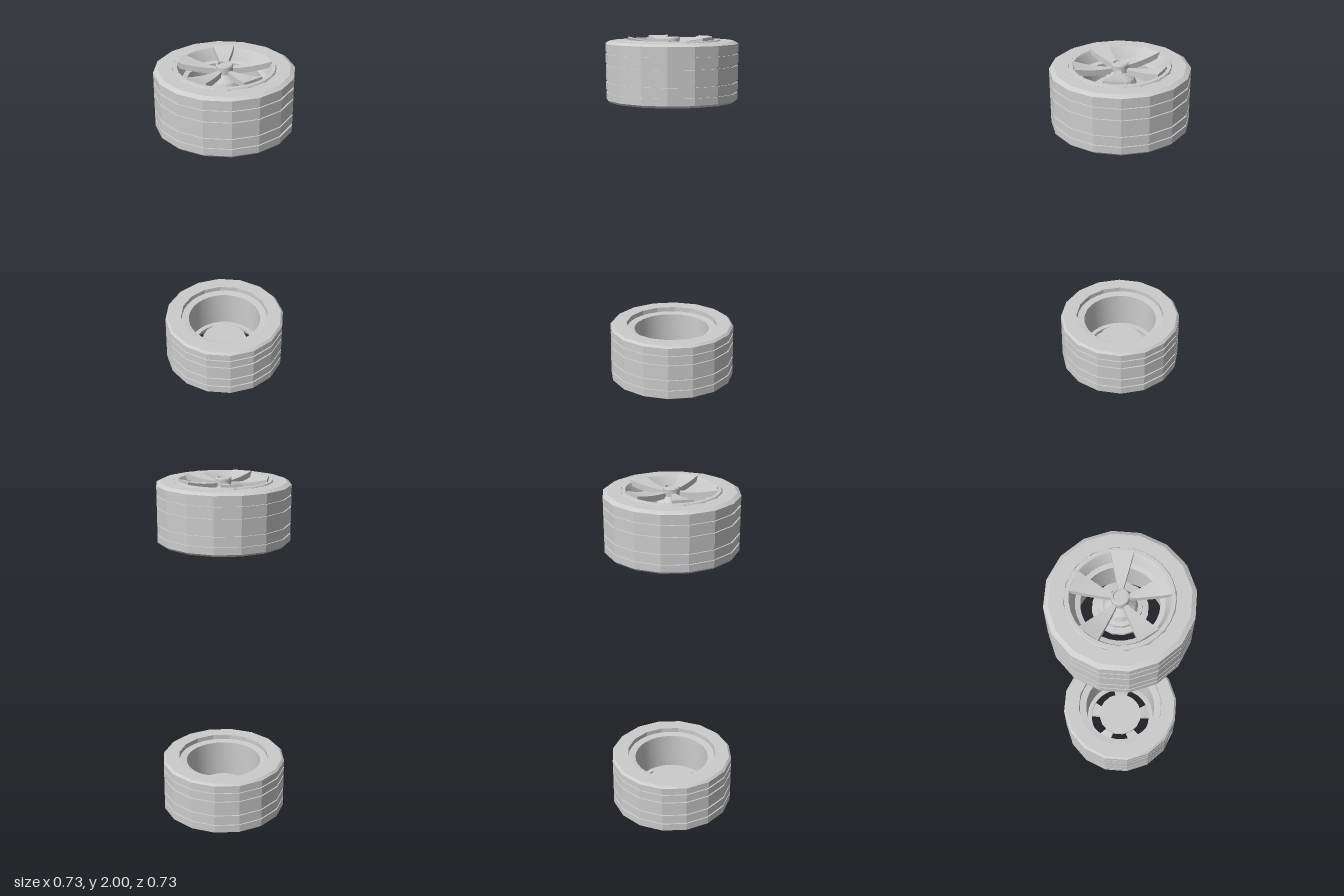
import * as THREE from 'three';
import { toCreasedNormals } from 'three/addons/utils/BufferGeometryUtils.js';

const grey = new THREE.MeshStandardMaterial({ color: 0xcccccc });
grey.name = 'plain grey';

function part(name, geometry, crease = 0.3) {
  const mesh = new THREE.Mesh(toCreasedNormals(geometry, crease), grey);
  mesh.name = name;
  return mesh;
}

// Profile of [radius, height] pairs: up the outside, then inward over the top
function turned(name, profile, sides) {
  const points = profile.map(([r, y]) => new THREE.Vector2(r, y));
  return part(name, new THREE.LatheGeometry(points, sides));
}

// Sixteen-sided tyre with four shallow grooves round the tread
function makeTyre() {
  const R = 0.363, depth = 0.008, half = 0.005;
  const profile = [[0.267, 0], [0.35, 0], [R, 0.012]];
  for (const y of [0.055, 0.11, 0.2, 0.262]) {
    profile.push([R, y - half], [R - depth, y - half], [R - depth, y + half], [R, y + half]);
  }
  profile.push([R, 0.312], [0.34, 0.325], [0.267, 0.325], [0.267, 0]);
  return turned('tyre', profile, 16);
}

// Open barrel with a back flange, a front lip and a stepped throat
function makeRim() {
  return turned('rim', [
    [0.262, 0.026], [0.262, 0.036], [0.23, 0.045], [0.23, 0.3], [0.262, 0.312],
    [0.264, 0.325], [0.26, 0.332], [0.241, 0.332], [0.235, 0.322], [0.215, 0.27],
    [0.19, 0.265], [0.19, 0.25], [0.218, 0.25], [0.22, 0.03], [0.262, 0.026],
  ], 32);
}

// Tapered spoke that rises toward its outer end
function makeSpoke(angle) {
  const geometry = new THREE.BoxGeometry(1, 1, 1, 4, 1, 1);
  const p = geometry.attributes.position;
  for (let i = 0; i < p.count; i++) {
    const t = p.getX(i) + 0.5;
    const top = 0.318 + 0.027 * t * t;
    p.setXYZ(
      i,
      0.036 + 0.2 * t,
      p.getY(i) > 0 ? top : top - 0.03,
      Math.sign(p.getZ(i)) * (0.009 + 0.047 * t),
    );
  }
  const spoke = part('spoke', geometry, 0.2);
  spoke.rotation.y = angle;
  return spoke;
}

function makeWheel(name) {
  const wheel = new THREE.Group();
  wheel.name = name;
  wheel.add(makeTyre(), makeRim());

  // Stepped hub behind the spokes
  wheel.add(turned('hub', [
    [0, 0.2], [0.137, 0.2], [0.137, 0.215], [0.107, 0.218], [0.106, 0.235],
    [0.085, 0.238], [0.075, 0.265], [0.045, 0.3], [0, 0.3],
  ], 16));

  // Centre cap with a recessed face
  wheel.add(turned('centreCap', [
    [0, 0.285], [0.043, 0.285], [0.044, 0.338], [0.04, 0.345],
    [0.034, 0.345], [0.031, 0.336], [0, 0.336],
  ], 24));

  for (let i = 0; i < 5; i++) wheel.add(makeSpoke(Math.PI + (i * 2 * Math.PI) / 5));
  return wheel;
}

export function createModel() {
  const model = new THREE.Group();
  model.name = 'wheelPair';

  // Upper wheel faces up, lower wheel faces down
  const upper = makeWheel('upperWheel');
  upper.position.y = 1.655;
  const lower = makeWheel('lowerWheel');
  lower.rotation.x = Math.PI;
  lower.position.y = 0.345;

  model.add(upper, lower);
  return model;
}
